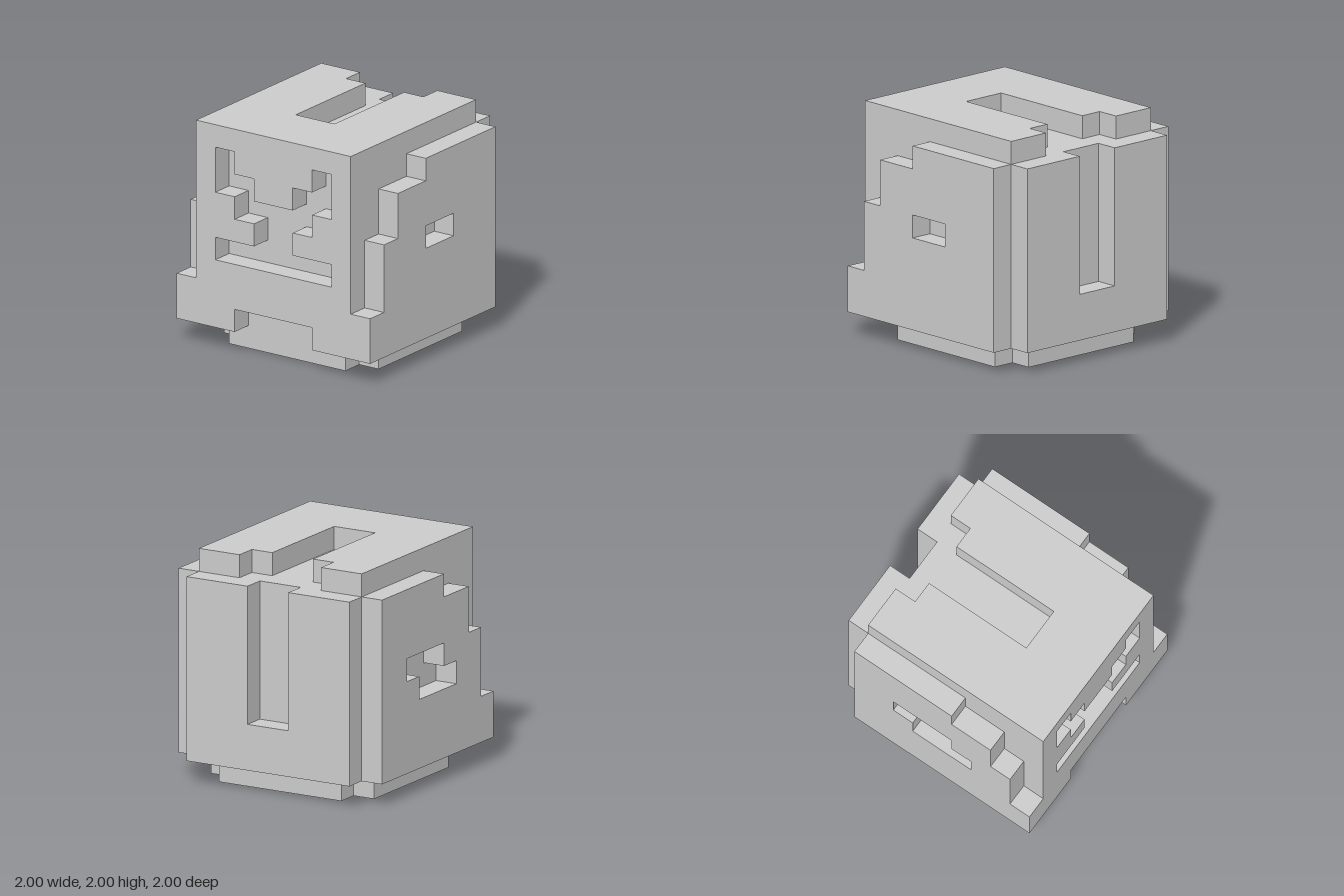
import * as THREE from 'three';

// Everything is laid out on a 10 x 10 x 10 block grid, one block = 0.2 units.
const BLOCK = 0.2;

const toPoints = (pts) => pts.map(([a, b]) => new THREE.Vector2(a, b));

// Mirror half an outline (a >= 0) across the vertical axis to close it.
const mirrored = (half) => [...half, ...half.map(([a, b]) => [-a, b]).reverse()];

export function createModel() {
  const group = new THREE.Group();
  group.name = 'blockHelmet';
  const material = new THREE.MeshStandardMaterial({ color: 0xcccccc, flatShading: true });

  const add = (name, geometry, position, rotation = [0, 0, 0]) => {
    const mesh = new THREE.Mesh(geometry, material);
    mesh.name = name;
    mesh.position.set(...position);
    mesh.rotation.set(...rotation);
    group.add(mesh);
  };

  // One-block-thick plate with an optional cut-out.
  const plate = (outline, hole) => {
    const shape = new THREE.Shape(toPoints(outline));
    if (hole) shape.holes.push(new THREE.Path(toPoints(hole)));
    return new THREE.ExtrudeGeometry(shape, { depth: 1, bevelEnabled: false });
  };

  // Solid inner head
  add('head', new THREE.BoxGeometry(8, 8, 8), [0, 5, 0]);

  // Face plate with joined eye and mouth opening, notched at the chin
  const face = mirrored([[2, 2], [2, 1], [4, 1], [4, 10]]);
  const faceOpening = mirrored([
    [1, 7], [1, 8], [2, 8], [2, 9], [3, 9], [3, 7],
    [2, 7], [2, 6], [1, 6], [1, 5], [3, 5], [3, 4],
  ]);
  add('facePlate', plate(face, faceOpening), [0, 0, 4]);

  // Back plate with a slot open at the top
  const back = mirrored([[1, 3], [1, 9], [4, 9], [4, 1]]);
  add('backPlate', plate(back), [0, 0, -5]);

  // Crown: the slot runs forward from the back edge
  const crown = mirrored([[1, 2], [1, -3], [2, -3], [2, -4], [4, -4], [4, 5]]);
  add('crownPlate', plate(crown), [0, 10, 0], [Math.PI / 2, 0, 0]);

  // Stepped side plates, drawn as (z, y); each has its own ear hole
  const side = [
    [-4, 1], [5, 1], [5, 3], [4, 3], [4, 6], [3, 6], [3, 8], [1, 8], [1, 9], [-4, 9],
  ];
  const leftEar = [[-1, 5], [1, 5], [1, 6], [-1, 6]];
  const rightEar = [[-1, 4], [2, 4], [2, 5], [1, 5], [1, 6], [-2, 6], [-2, 5], [-1, 5]];
  add('leftSidePlate', plate(side, leftEar), [5, 0, 0], [0, -Math.PI / 2, 0]);
  add('rightSidePlate', plate(side, rightEar), [-4, 0, 0], [0, -Math.PI / 2, 0]);

  // Base with notched corners
  const base = mirrored([[3, -4], [3, -3], [4, -3], [4, 3], [3, 3], [3, 4]]);
  add('base', plate(base), [0, 1, 0], [Math.PI / 2, 0, 0]);

  group.scale.setScalar(BLOCK);
  return group;
}
